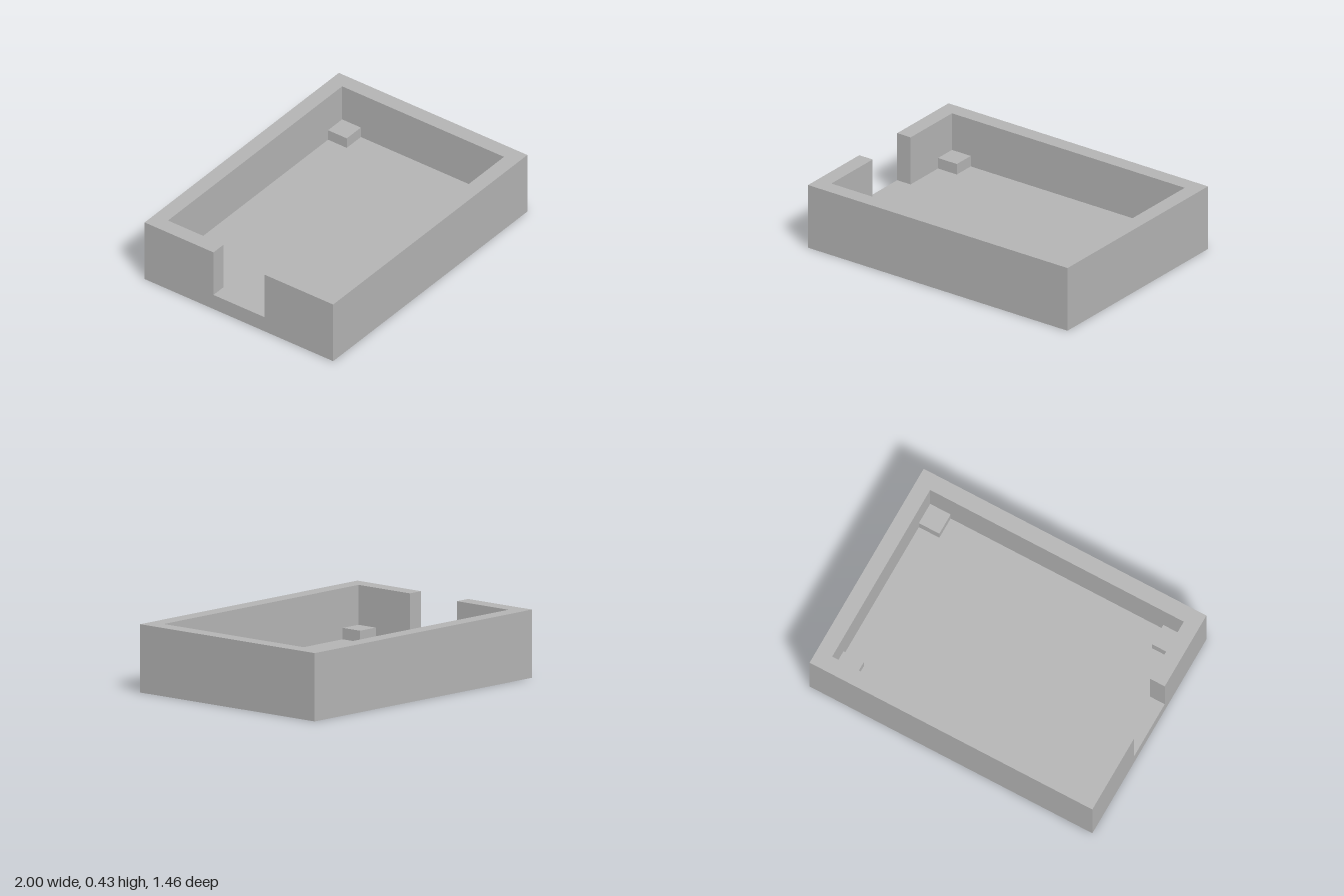
import * as THREE from 'three';

const W = 1, D = 0.73, H = 0.43;      // outer half width, half depth, height
const IW = 0.897, ID = 0.627;         // inner half width and half depth
const FLOOR = 0.107, GAP = 0.197;     // floor thickness, half width of the opening
const PAD = 0.145, PAD_H = 0.072;     // corner support pads

export function createModel() {
  const group = new THREE.Group();
  const grey = new THREE.MeshStandardMaterial({ color: 0xb4b4b4 });
  grey.name = 'plain grey';

  const add = (name, geometry, x, y, z) => {
    const mesh = new THREE.Mesh(geometry, grey);
    mesh.name = name;
    mesh.position.set(x, y, z);
    group.add(mesh);
    return mesh;
  };

  // Solid floor slab
  add('floor', new THREE.BoxGeometry(2 * W, FLOOR, 2 * D), 0, FLOOR / 2, 0);

  // Continuous wall with an opening in the -x side
  const outline = new THREE.Shape([
    [-W, -GAP], [-W, -D], [W, -D], [W, D], [-W, D], [-W, GAP],
    [-IW, GAP], [-IW, ID], [IW, ID], [IW, -ID], [-IW, -ID], [-IW, -GAP],
  ].map(([x, z]) => new THREE.Vector2(x, z)));
  const wall = new THREE.ExtrudeGeometry(outline, { depth: H - FLOOR, bevelEnabled: false });
  wall.rotateX(-Math.PI / 2);
  add('wall', wall, 0, FLOOR, 0);

  // Support pads in the four inner corners
  for (const sx of [-1, 1]) {
    for (const sz of [-1, 1]) {
      add('cornerPad', new THREE.BoxGeometry(PAD, PAD_H, PAD),
        sx * (IW - PAD / 2), FLOOR + PAD_H / 2, sz * (ID - PAD / 2));
    }
  }
  return group;
}
